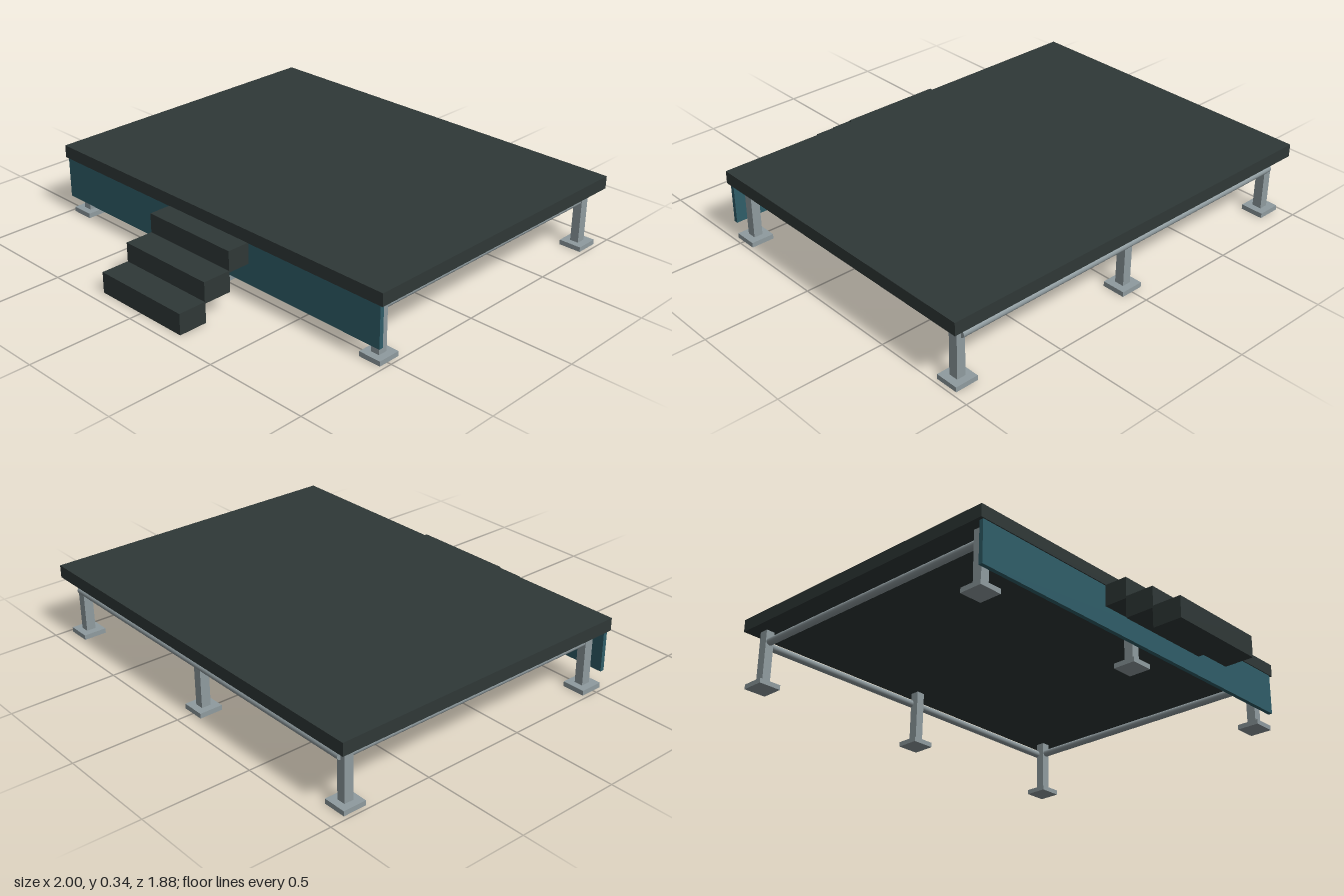
import * as THREE from 'three';

export function createModel() {
  const model = new THREE.Group();
  model.name = 'stagePlatform';
  const mat = (name, color) => {
    const m = new THREE.MeshStandardMaterial({ color });
    m.name = name;
    return m;
  };
  const charcoal = mat('charcoal', 0x2f3837);
  const teal = mat('teal', 0x2f5d68);
  const steel = mat('steel', 0x8f9b9f);

  const add = (name, geometry, material, x, y, z) => {
    const mesh = new THREE.Mesh(geometry, material);
    mesh.name = name;
    mesh.position.set(x, y, z);
    model.add(mesh);
    return mesh;
  };
  const box = (name, material, w, h, d, x, y, z) =>
    add(name, new THREE.BoxGeometry(w, h, d), material, x, y, z);

  // Deck slab and front skirt
  box('deck', charcoal, 2, 0.06, 1.5, 0, 0.312, -0.19);
  box('frontSkirt', teal, 1.97, 0.2, 0.02, 0, 0.184, 0.545);

  // Three steps, the top one tucked under the deck edge
  for (let i = 0; i < 3; i++) {
    box('step', charcoal, 0.5, 0.1, 0.14, 0, 0.05 + i * 0.0915, 0.87 - i * 0.137);
  }

  // Legs with foot plates
  const legZ = [0.489, -0.865];
  for (const z of legZ) {
    for (const x of [-0.925, 0, 0.925]) {
      box('leg', steel, 0.042, 0.265, 0.045, x, 0.1515, z);
      box('footPlate', steel, 0.11, 0.023, 0.11, x, 0.0115, z);
    }
  }

  // Long rails on the outer faces of the legs
  const railY = 0.228;
  for (const z of [0.507, -0.887]) {
    const rail = add('longRail', new THREE.CylinderGeometry(0.018, 0.018, 1.85, 16), steel, 0, railY, z);
    rail.rotation.z = Math.PI / 2;
  }

  // Side rails between the corner legs
  for (const x of [-0.925, 0.925]) {
    const rail = add('sideRail', new THREE.CylinderGeometry(0.018, 0.018, 1.37, 16), steel, x, railY, -0.188);
    rail.rotation.x = Math.PI / 2;
  }

  return model;
}
